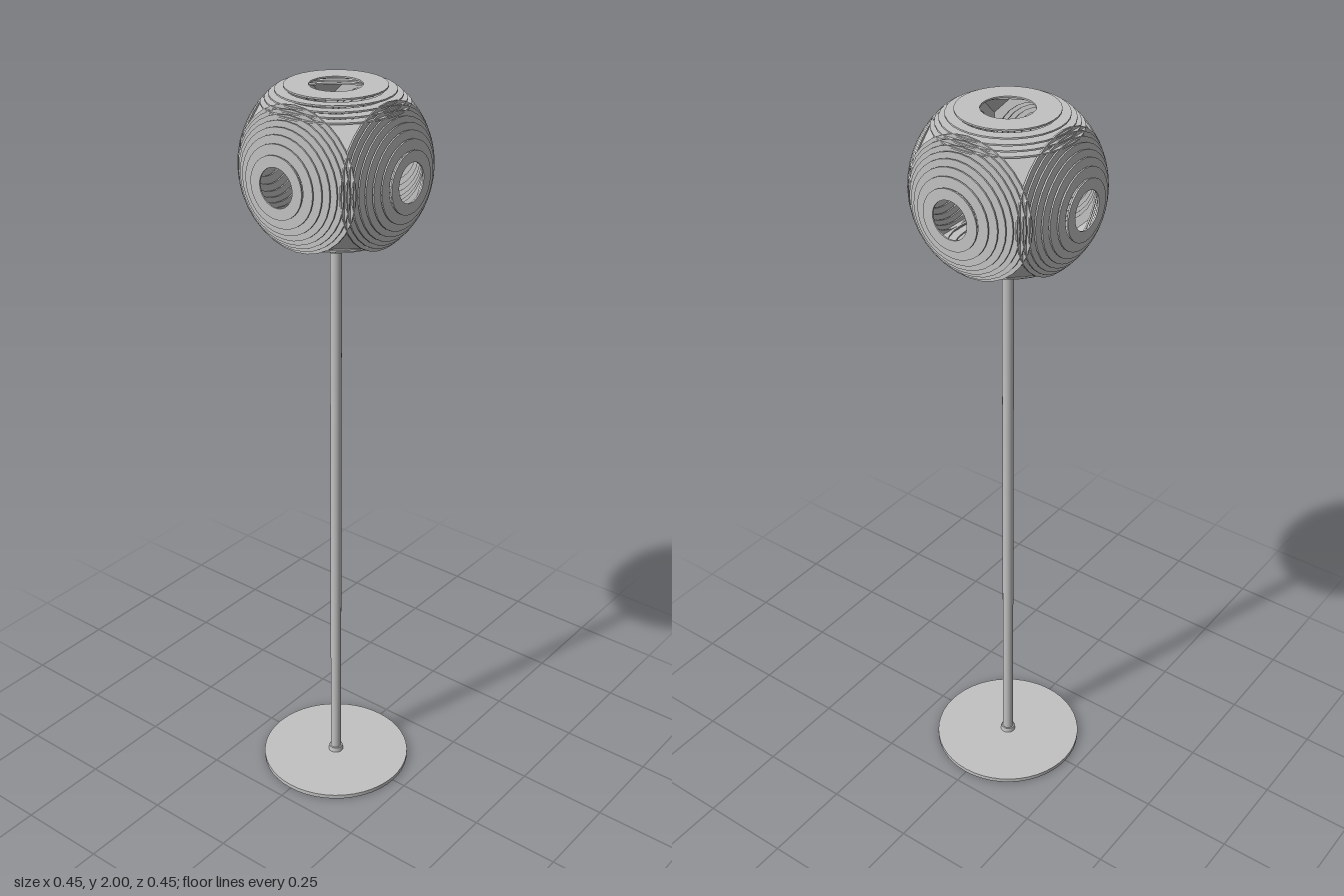
import * as THREE from 'three';

const CENTER_Y = 1.805;
const RADIUS = 0.236;

export function createModel() {
  const model = new THREE.Group();
  model.name = 'floorLamp';
  const grey = new THREE.MeshStandardMaterial({ color: 0xc2c2c2 });
  grey.name = 'satin grey';
  grey.side = THREE.DoubleSide;

  function add(parent, name, geometry, y = 0) {
    const mesh = new THREE.Mesh(geometry, grey);
    mesh.name = name;
    mesh.position.y = y;
    parent.add(mesh);
    return mesh;
  }

  // Flat annular slat with crisp edges, lying across the y axis
  function slatGeometry(outer, width, thickness = 0.004) {
    const inner = Math.max(outer - width, 0.012);
    const h = thickness / 2;
    const profile = [[outer, -h], [outer, h], [inner, h], [inner, -h], [outer, -h]]
      .map(([x, y]) => new THREE.Vector2(x, y));
    const geometry = new THREE.LatheGeometry(profile, 32).toNonIndexed();
    geometry.computeVertexNormals();
    return geometry;
  }

  // Base and pole
  add(model, 'base', new THREE.CylinderGeometry(0.21, 0.21, 0.012, 48), 0.006);
  add(model, 'poleCollar', new THREE.CylinderGeometry(0.019, 0.021, 0.014, 24), 0.019);
  add(model, 'pole', new THREE.CylinderGeometry(0.015, 0.015, 1.625, 24), 0.8225);
  add(model, 'lampSocket', new THREE.CylinderGeometry(0.02, 0.02, 0.04, 6), 1.63);

  const shade = new THREE.Group();
  shade.name = 'shade';
  shade.position.y = CENTER_Y;
  model.add(shade);

  // A cap is a stack of slats along one of the six directions
  function addCap(name, direction, slats) {
    const cap = new THREE.Group();
    cap.name = name;
    cap.quaternion.setFromUnitVectors(new THREE.Vector3(0, 1, 0), direction);
    for (const [distance, radius] of slats) {
      add(cap, 'slat', slatGeometry(radius, 0.028), distance);
    }
    shade.add(cap);
  }

  const sideSlats = [];
  for (let i = 0; i < 8; i++) {
    const d = 0.223 - i * 0.01;
    sideSlats.push([d, Math.sqrt(RADIUS * RADIUS - d * d)]);
  }
  addCap('leftCap', new THREE.Vector3(1, 0, 0), sideSlats);
  addCap('rightCap', new THREE.Vector3(-1, 0, 0), sideSlats);
  addCap('frontCap', new THREE.Vector3(0, 0, 1), sideSlats);
  addCap('backCap', new THREE.Vector3(0, 0, -1), sideSlats);
  addCap('topCap', new THREE.Vector3(0, 1, 0),
    [[0.193, 0.125], [0.183, 0.146], [0.173, 0.16], [0.163, 0.17], [0.153, 0.18]]);
  addCap('bottomCap', new THREE.Vector3(0, -1, 0),
    [[0.183, 0.115], [0.173, 0.14], [0.163, 0.159], [0.153, 0.175]]);

  // Disc that carries the shade on the pole, and the inner top ring
  add(shade, 'shadeHolder', slatGeometry(0.08, 0.07), -0.193);
  add(shade, 'topInnerRing', slatGeometry(0.1, 0.035), 0.193);

  // Closed triangular patches where three caps meet
  const a = 0.155, b = 0.085;
  for (const sx of [-1, 1]) for (const sy of [-1, 1]) for (const sz of [-1, 1]) {
    const corners = [[b, a, a], [a, b, a], [a, a, b]];
    if (sx * sy * sz > 0) corners.reverse();
    const points = corners.map(([x, y, z]) => new THREE.Vector3(x * sx, y * sy, z * sz));
    const geometry = new THREE.BufferGeometry().setFromPoints(points);
    geometry.computeVertexNormals();
    // keep the winding facing away from the shade centre
    const normal = new THREE.Vector3().fromBufferAttribute(geometry.attributes.normal, 0);
    if (normal.dot(points[0]) < 0) {
      geometry.setFromPoints([points[0], points[2], points[1]]);
      geometry.computeVertexNormals();
    }
    add(shade, 'cornerPatch', geometry);
  }

  return model;
}
